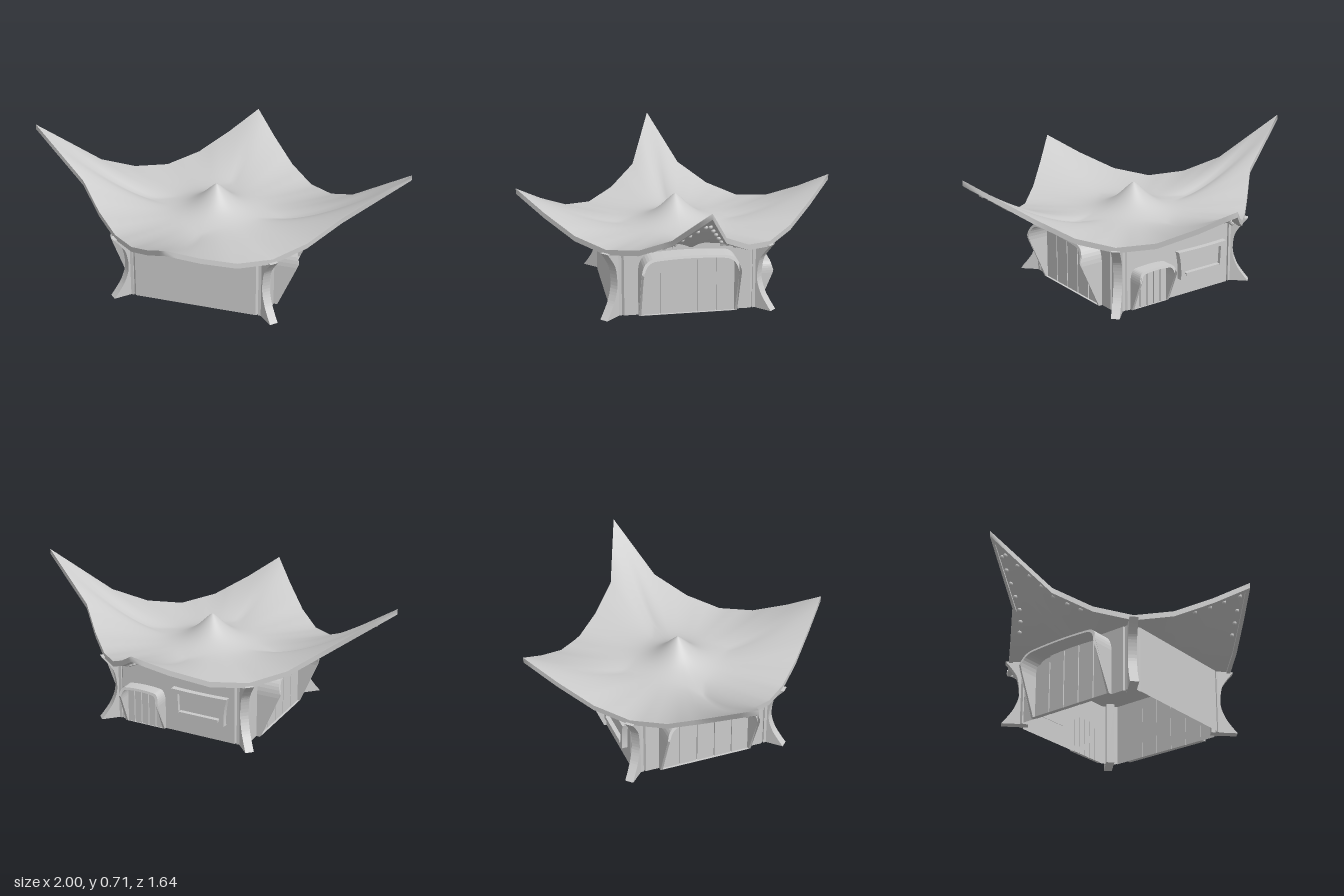
import * as THREE from 'three';

const mat = new THREE.MeshStandardMaterial({ color: 0xcccccc, side: THREE.DoubleSide });
const HALF = 0.38, FLAT = 0.32, WALL_H = 0.34;

function add(parent, name, geo) {
  const m = new THREE.Mesh(geo, mat);
  m.name = name;
  parent.add(m);
  return m;
}

// Roof edge in one quadrant, from side tip to front tip: x, y, z
const EDGE = [[1, 0.71, 0], [0.69, 0.487, 0.13], [0.55, 0.398, 0.27], [0.41, 0.362, 0.41],
  [0.27, 0.395, 0.55], [0.13, 0.48, 0.69], [0, 0.575, 0.82]].map(p => new THREE.Vector3(...p));

function edgeAt(u) {
  const f = u * (EDGE.length - 1), i = Math.min(Math.floor(f), EDGE.length - 2);
  return EDGE[i].clone().lerp(EDGE[i + 1], f - i);
}

// Roof surface: t = 0 at the centre, 1 at the edge
function roofPoint(e, t, drop) {
  const x = e.x * t, z = e.z * t, r = Math.hypot(x, z);
  const sweep = Math.pow(Math.max(0, (t - 0.35) / 0.65), 1.5);
  const peak = 0.148 * Math.exp(-Math.pow(r / 0.11, 1.4));
  return [x, 0.362 + (e.y - 0.362) * sweep + peak - drop, z];
}

// Full edge loop from the mirrored quadrants
const SUB = 18, LOOP = [];
[[1, 1], [-1, 1], [-1, -1], [1, -1]].forEach(([sx, sz], q) => {
  for (let i = 0; i < SUB; i++) {
    const e = edgeAt(q % 2 ? 1 - i / SUB : i / SUB);
    LOOP.push(new THREE.Vector3(e.x * sx, e.y, e.z * sz));
  }
});

// Ring strip through rows of [t, drop]
function roofStrip(rows) {
  const pos = [], idx = [], n = LOOP.length;
  rows.forEach(([t, d]) => LOOP.forEach(e => pos.push(...roofPoint(e, t, d))));
  for (let i = 0; i < rows.length - 1; i++) for (let j = 0; j < n; j++) {
    const a = i * n + j, b = i * n + (j + 1) % n;
    idx.push(a, b, a + n, b, b + n, a + n);
  }
  const g = new THREE.BufferGeometry();
  g.setAttribute('position', new THREE.Float32BufferAttribute(pos, 3));
  g.setIndex(idx);
  g.computeVertexNormals();
  return g;
}

function makeRoof() {
  const roof = new THREE.Group();
  roof.name = 'roof';
  const steps = Array.from({ length: 41 }, (_, i) => Math.max(0.002, Math.pow(i / 40, 1.2)));
  add(roof, 'roofTop', roofStrip(steps.map(t => [t, 0])));
  add(roof, 'roofEdge', roofStrip([[1, 0], [1, 0.028]]));
  add(roof, 'roofRim', roofStrip([[1, 0.028], [0.965, 0.028]]));
  add(roof, 'roofRimInside', roofStrip([[0.965, 0.028], [0.965, 0.016]]));
  const inner = steps.filter(t => t < 0.96).reverse();
  add(roof, 'roofUnderside', roofStrip([0.965, ...inner].map(t => [t, 0.016])));

  // Studs under the eaves near each tip
  const studGeo = new THREE.SphereGeometry(0.011, 8, 6);
  const us = [0.015, 0.05, 0.085, 0.12, 0.155, 0.21, 0.27, 0.78, 0.85, 0.92, 1];
  for (const sx of [-1, 1]) for (const sz of [-1, 1]) for (const u of us) {
    if (u === 1 && sx < 0) continue;
    const [x, y, z] = roofPoint(edgeAt(u), 0.925, 0.02);
    add(roof, 'stud', studGeo).position.set(x * sx, y, z * sz);
  }
  return roof;
}

// Arch outline standing on y = 0
function archPath(path, w, h) {
  const a = w / 2, cx = a * 0.3, cy = h * 0.3;
  path.moveTo(-a, 0);
  path.lineTo(a, 0);
  path.lineTo(a, h - cy);
  path.quadraticCurveTo(a * 0.98, h - cy * 0.1, a - cx, h - cy * 0.07);
  path.quadraticCurveTo(0, h + cy * 0.07, -a + cx, h - cy * 0.07);
  path.quadraticCurveTo(-a * 0.98, h - cy * 0.1, -a, h - cy);
  path.closePath();
  return path;
}

// Plank door under a hood that leans outward
function makeDoor(name, w, h, lean) {
  const door = new THREE.Group();
  door.name = name;
  const rim = 0.012, shape = archPath(new THREE.Shape(), w, h);
  const a = w / 2 - rim, inner = archPath(new THREE.Path(), 2 * a, h - rim);
  shape.holes.push(new THREE.Path(inner.getPoints(8).map(p => new THREE.Vector2(p.x, Math.max(p.y, 0.001)))));
  const hood = new THREE.ExtrudeGeometry(shape, { depth: 1, bevelEnabled: false, curveSegments: 8 });
  const p = hood.attributes.position;
  for (let i = 0; i < p.count; i++) {
    const k = p.getY(i) / h;
    const out = k < 0.75 ? 0.16 + 0.84 * k / 0.75 : 1 - 0.8 * (k - 0.75);
    p.setZ(i, p.getZ(i) * out * lean);
  }
  hood.computeVertexNormals();
  add(door, 'doorHood', hood);
  const n = 5, pw = 2 * a / n;
  for (let i = 0; i < n; i++) {
    const end = i === 0 || i === n - 1;
    const ph = h * (end ? 0.85 : 0.97);
    add(door, 'doorPlank', new THREE.BoxGeometry(pw - 0.006, ph, 0.012))
      .position.set(-a + pw * (i + 0.5), ph / 2, 0.003);
  }
  return door;
}

// Shuttered window with a raised frame
function makeWindow() {
  const win = new THREE.Group();
  win.name = 'window';
  const s = new THREE.Shape();
  s.moveTo(-0.14, -0.075);
  s.lineTo(0.14, -0.075);
  s.quadraticCurveTo(0.135, 0, 0.155, 0.075);
  s.quadraticCurveTo(0, 0.068, -0.155, 0.075);
  s.quadraticCurveTo(-0.135, 0, -0.14, -0.075);
  const hole = new THREE.Path();
  hole.moveTo(-0.115, -0.05);
  hole.lineTo(-0.12, 0.052);
  hole.lineTo(0.12, 0.052);
  hole.lineTo(0.115, -0.05);
  hole.closePath();
  s.holes.push(hole);
  add(win, 'windowFrame', new THREE.ExtrudeGeometry(s, { depth: 0.03, bevelEnabled: false }));
  add(win, 'windowShutter', new THREE.BoxGeometry(0.24, 0.11, 0.014)).position.z = 0.005;
  add(win, 'windowSill', new THREE.BoxGeometry(0.22, 0.014, 0.03)).position.set(0, -0.05, 0.02);
  return win;
}

// Corner post: curved profile in the diagonal plane
function postGeometry() {
  const s = new THREE.Shape();
  s.moveTo(0.47, 0);
  s.lineTo(0.607, 0);
  s.splineThru([[0.575, 0.04], [0.543, 0.09], [0.522, 0.16], [0.532, 0.25], [0.56, 0.3], [0.597, 0.345]]
    .map(p => new THREE.Vector2(...p)));
  s.lineTo(0.47, 0.345);
  s.closePath();
  return new THREE.ExtrudeGeometry(s, { depth: 0.044, bevelEnabled: false, curveSegments: 4 }).translate(0, 0, -0.022);
}

export function createModel() {
  const hut = new THREE.Group();
  hut.name = 'hut';
  hut.add(makeRoof());

  // Walls with chamfered corners, open below
  const chamfer = (HALF - FLAT) * Math.SQRT2, mid = (HALF + FLAT) / Math.SQRT2;
  const post = postGeometry();
  for (let i = 0; i < 4; i++) {
    const side = new THREE.Group();
    side.name = 'side';
    side.rotation.y = i * Math.PI / 2;
    add(side, 'wall', new THREE.PlaneGeometry(FLAT * 2, WALL_H)).position.set(0, WALL_H / 2, HALF);
    const c = add(side, 'wallCorner', new THREE.PlaneGeometry(chamfer, WALL_H));
    c.position.set(mid / Math.SQRT2, WALL_H / 2, mid / Math.SQRT2);
    c.rotation.y = Math.PI / 4;
    add(side, 'cornerPost', post).rotation.y = -Math.PI / 4;
    // Slim strips beside each post
    for (const s of [-1, 1])
      add(side, 'cornerStrip', new THREE.BoxGeometry(0.016, WALL_H, 0.02)).position.set(s * 0.34, WALL_H / 2, HALF - 0.012);
    hut.add(side);
  }

  // Large doors on both sides
  for (const s of [-1, 1]) {
    const d = makeDoor('sideDoor', 0.5, 0.333, 0.125);
    d.position.x = s * HALF;
    d.rotation.y = s * Math.PI / 2;
    hut.add(d);
  }

  // Small door and window at the back
  const back = makeDoor('backDoor', 0.23, 0.218, 0.08);
  back.position.set(0.185, 0, -HALF);
  back.rotation.y = Math.PI;
  const win = makeWindow();
  win.position.set(-0.135, 0.17, -HALF);
  win.rotation.y = Math.PI;
  hut.add(back, win);
  return hut;
}
